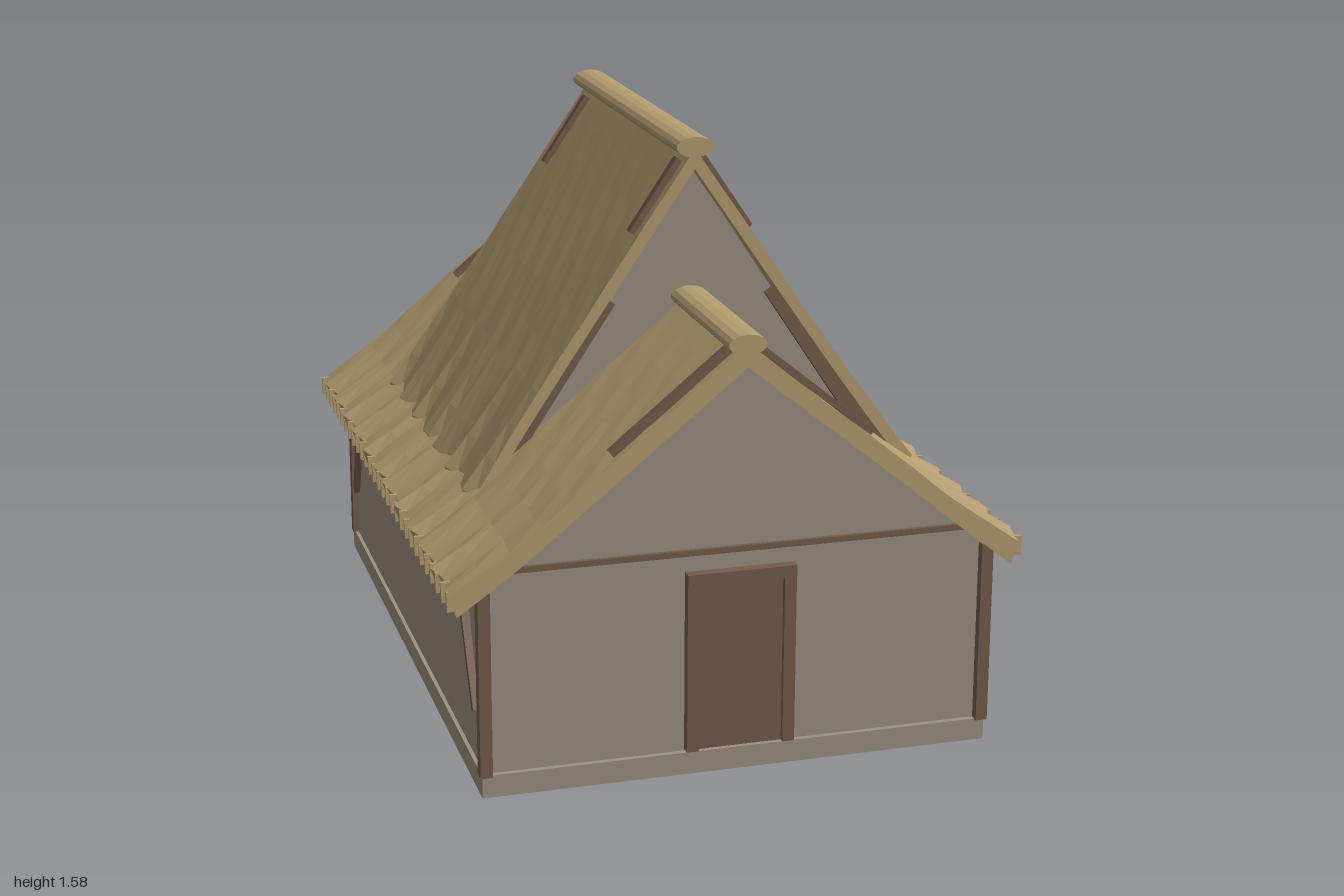
import * as THREE from 'three';

const mat = (name, color, flat = false) => {
  const m = new THREE.MeshStandardMaterial({ color, flatShading: flat });
  m.name = name;
  return m;
};

export function createModel() {
  const house = new THREE.Group();
  house.name = 'thatchedHouse';
  const plaster = mat('plaster', 0x9c9181);
  const thatch = mat('thatch', 0xb39c70, true);
  const wood = mat('wood', 0x765d4c);

  const add = (name, geo, material) => {
    const m = new THREE.Mesh(geo, material);
    m.name = name;
    house.add(m);
    return m;
  };
  const box = (name, w, h, d, x, y, z, material) =>
    add(name, new THREE.BoxGeometry(w, h, d), material).position.set(x, y, z);

  // Square timber running from a to b
  const beam = (name, a, b, w, d, material = wood) => {
    const p = new THREE.Vector3(...a), q = new THREE.Vector3(...b);
    const m = add(name, new THREE.BoxGeometry(w, p.distanceTo(q), d), material);
    m.position.copy(p).add(q).multiplyScalar(0.5);
    m.quaternion.setFromUnitVectors(new THREE.Vector3(0, 1, 0), q.sub(p).normalize());
  };

  // Solid wall block from a gable outline
  const gableBlock = (name, outline, halfDepth) => {
    const shape = new THREE.Shape(outline.map(p => new THREE.Vector2(...p)));
    const geo = new THREE.ExtrudeGeometry(shape, { depth: 2 * halfDepth, bevelEnabled: false });
    add(name, geo.translate(0, 0, -halfDepth), plaster);
  };

  // Point at fraction t of a short polyline, by x
  const follow = (line, t) => {
    const x = line[0][0] + (line.at(-1)[0] - line[0][0]) * t;
    let i = 1;
    while (i < line.length - 1 && line[i][0] < x) i++;
    const [a, b] = [line[i - 1], line[i]];
    return [x, a[1] + (b[1] - a[1]) * (x - a[0]) / (b[0] - a[0])];
  };

  // One thatch slope: a slab bent to outer and inner profiles, with a wavy eave
  const slope = (name, outer, inner, halfDepth, wave, side) => {
    const geo = new THREE.BoxGeometry(1, 1, 1, 10, 1, Math.round(halfDepth * 40));
    const pos = geo.attributes.position;
    for (let i = 0; i < pos.count; i++) {
      const t = pos.getX(i) + 0.5, z = pos.getZ(i) * 2 * halfDepth;
      const top = pos.getY(i) > 0;
      const [x, y] = follow(top ? outer : inner, t);
      const ripple = wave * Math.pow(t, 5) * (Math.sin(z * 37) + 0.4 * Math.sin(z * 61 + 1)) / 1.4;
      const bump = top ? 0.003 * Math.sin(t * 41 + z * 23) * Math.sin(z * 17 - t * 9) * Math.sin(Math.PI * t) : 0;
      pos.setXYZ(i, x + ripple, y + bump + ripple * 0.3, z);
    }
    geo.computeVertexNormals();
    add(name, geo, thatch).rotation.y = side > 0 ? 0 : Math.PI;
  };

  // Rounded ridge roll
  const ridge = (name, y, length) => {
    const geo = new THREE.CylinderGeometry(0.05, 0.05, length, 14);
    geo.rotateX(Math.PI / 2).scale(1, 0.54, 1);
    add(name, geo, thatch).position.y = y;
  };

  // Footing and walls
  box('foundation', 1.36, 0.06, 1.93, 0, 0.03, 0, plaster);
  gableBlock('walls', [[-0.67, 0.05], [0.67, 0.05], [0.67, 0.545], [0, 1.1], [-0.67, 0.545]], 0.95);
  gableBlock('upperGable', [[-0.58, 0.62], [0.58, 0.62], [0, 1.5]], 0.49);

  // Door with frame
  box('doorLeaf', 0.23, 0.455, 0.02, 0, 0.2925, 0.953, wood);
  box('doorLintel', 0.29, 0.03, 0.045, 0, 0.535, 0.957, wood);
  for (const s of [-1, 1]) box('doorJamb', 0.032, 0.455, 0.04, s * 0.129, 0.2925, 0.957, wood);

  // Ridge rolls
  ridge('lowerRidge', 1.147, 2);
  ridge('upperRidge', 1.553, 1.08);

  for (const s of [-1, 1]) {
    // Thatch slopes
    slope('lowerRoof', [[0, 1.15], [0.58, 0.68], [0.755, 0.565]],
      [[0, 1.09], [0.6, 0.605], [0.735, 0.505]], 1, 0.016, s);
    slope('upperRoof', [[0, 1.55], [0.61, 0.66]], [[0, 1.495], [0.6, 0.62]], 0.54, 0.018, s);

    // Poles lying over the thatch below each ridge
    for (const z of [0.96, -0.915])
      beam('lowerRoofPole', [s * 0.03, 1.135, z], [s * 0.34, 0.882, z], 0.025, 0.026);
    for (const z of [0.495, -0.45])
      beam('upperRoofPole', [s * 0.03, 1.515, z], [s * 0.158, 1.325, z], 0.025, 0.028);

    // Pegs along the eave
    for (let i = 0; i < 29; i++) {
      const z = -0.97 + i * 0.0693;
      beam('eavePeg', [s * 0.752, 0.568, z], [s * 0.75, 0.515, z], 0.025, 0.01, thatch);
    }

    for (const e of [-1, 1]) {
      // Corner posts and slanting eave braces
      box('cornerPost', 0.032, 0.495, 0.035, s * 0.67, 0.305, e * 0.95 + 0.006, wood);
      beam('eaveBrace', [s * 0.676, 0.21, e * 0.892], [s * 0.682, 0.54, e * 0.735], 0.022, 0.022);
      // Rafters under the upper gable edge
      beam('gableRafter', [s * 0.22, 1.15, e * 0.497], [s * 0.485, 0.75, e * 0.497], 0.03, 0.03);
    }
  }

  // Tie beams across both gables
  for (const e of [-1, 1]) box('tieBeam', 1.25, 0.016, 0.016, 0, 0.602, e * 0.953, wood);

  return house;
}
